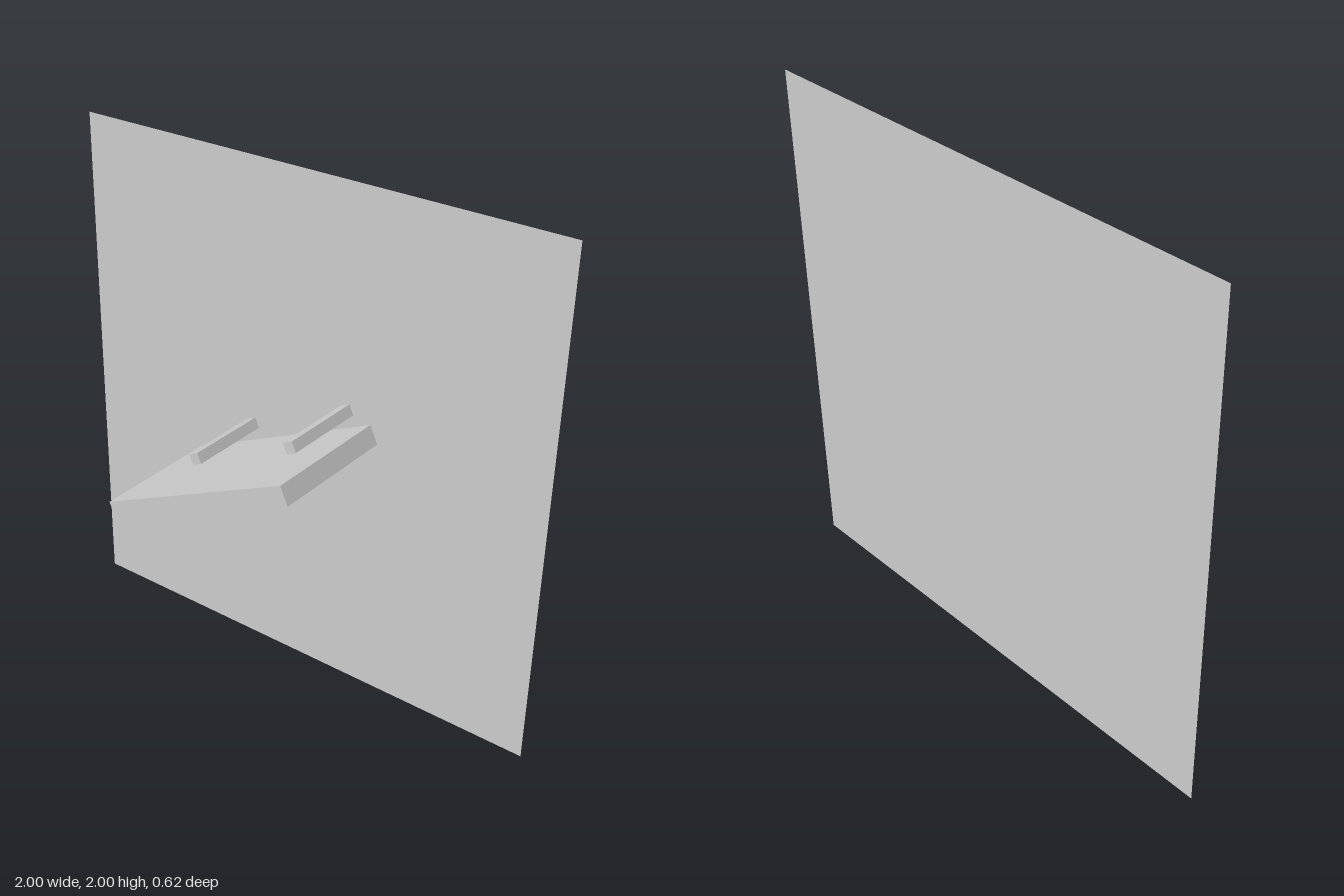
import * as THREE from 'three';

const material = new THREE.MeshStandardMaterial({ color: 0xcccccc });
const wallMaterial = new THREE.MeshStandardMaterial({ color: 0xcccccc, side: THREE.DoubleSide });

const LENGTH = 0.837, HEIGHT = 0.073, DEPTH = 0.505;

function add(parent, name, geometry, x = 0, y = 0, z = 0, mat = material) {
  const mesh = new THREE.Mesh(geometry, mat);
  mesh.name = name;
  mesh.position.set(x, y, z);
  parent.add(mesh);
  return mesh;
}

// Rectangular frame lying flat, its bottom at y = 0
function frame(border, height) {
  const rect = (target, w, d) => target
    .moveTo(-w / 2, -d / 2).lineTo(w / 2, -d / 2)
    .lineTo(w / 2, d / 2).lineTo(-w / 2, d / 2).closePath();
  const shape = new THREE.Shape();
  const hole = new THREE.Path();
  rect(shape, LENGTH, DEPTH);
  rect(hole, LENGTH - 2 * border, DEPTH - 2 * border);
  shape.holes.push(hole);
  return new THREE.ExtrudeGeometry(shape, { depth: height, bevelEnabled: false })
    .rotateX(-Math.PI / 2);
}

export function createModel() {
  const model = new THREE.Group();
  model.name = 'wallMountedTray';

  // Thin square wall behind everything
  add(model, 'wall', new THREE.PlaneGeometry(2, 2), 0, 1, -0.312, wallMaterial);

  // Everything in front of the wall shares one tilt
  const tilted = new THREE.Group();
  tilted.name = 'tiltedAssembly';
  tilted.position.y = 1;
  tilted.rotation.z = THREE.MathUtils.degToRad(25);
  model.add(tilted);

  // Tray: thin lid and sides, open below, with a thicker lip around the opening
  const tray = new THREE.Group();
  tray.name = 'tray';
  tray.position.z = 0.06;
  tilted.add(tray);
  const skin = 0.005, lip = 0.03;
  add(tray, 'lid', new THREE.BoxGeometry(LENGTH, skin, DEPTH), 0, HEIGHT / 2 - skin / 2);
  add(tray, 'sides', frame(skin, HEIGHT - skin - lip), 0, -HEIGHT / 2 + lip);
  add(tray, 'lip', frame(0.022, lip), 0, -HEIGHT / 2);

  // Two square bars running from the wall over the tray
  for (const side of [-1, 1]) {
    add(tilted, side < 0 ? 'rightBar' : 'leftBar',
      new THREE.BoxGeometry(0.042, 0.042, 0.337), side * 0.232, 0.062, -0.1435);
  }
  return model;
}
